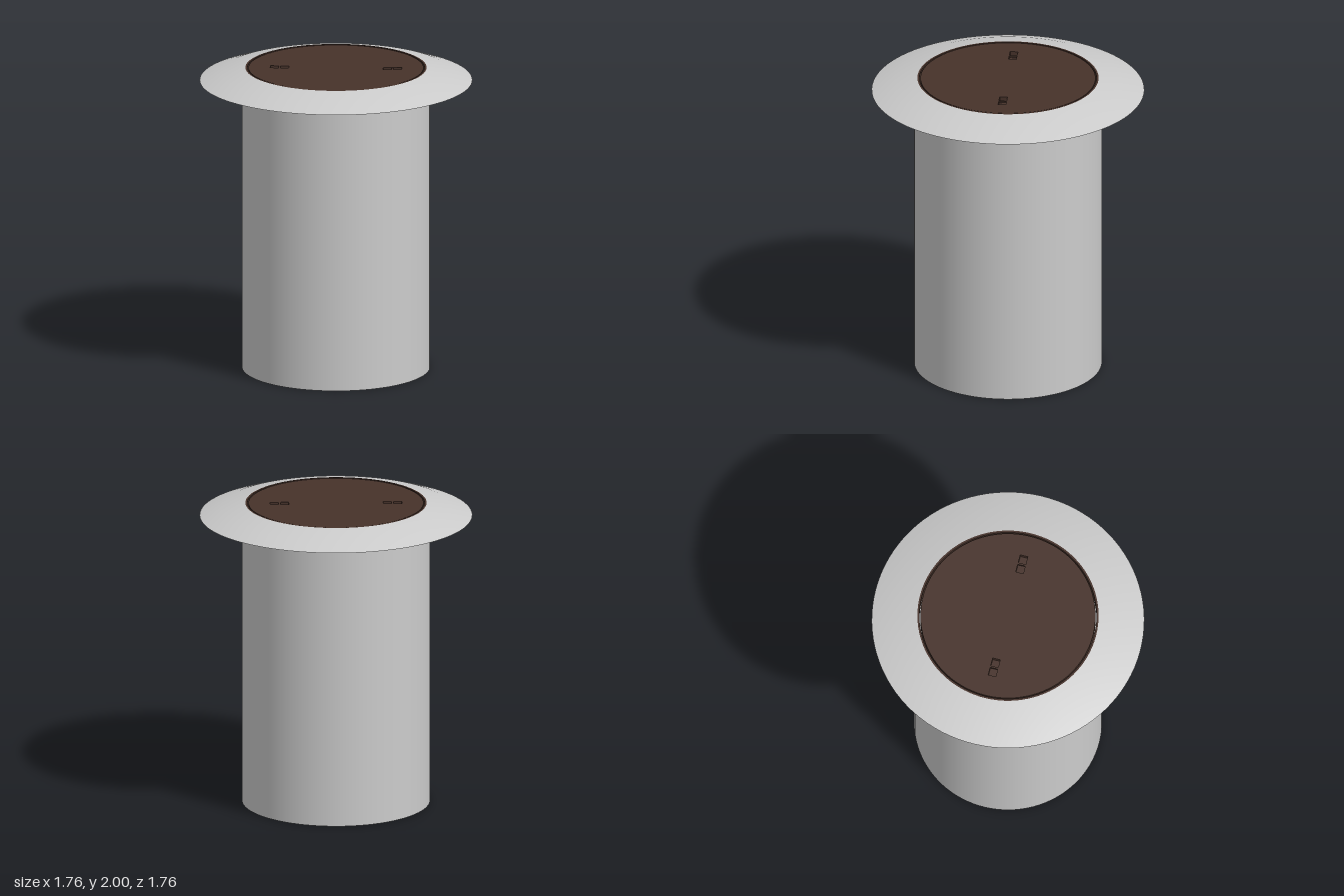
import * as THREE from 'three';

const SEG = 96;
const grey = new THREE.MeshStandardMaterial({ color: 0xcccccc });
const greyThin = new THREE.MeshStandardMaterial({ color: 0xcccccc, side: THREE.DoubleSide });
const brown = new THREE.MeshStandardMaterial({ color: 0x46322a });

function add(parent, name, geometry, material, x = 0, y = 0, z = 0) {
  const mesh = new THREE.Mesh(geometry, material);
  mesh.name = name;
  mesh.position.set(x, y, z);
  parent.add(mesh);
  return mesh;
}

// Flat shape extruded upward from y = 0
function slab(shape, height) {
  const geometry = new THREE.ExtrudeGeometry(shape, { depth: height, bevelEnabled: false, curveSegments: SEG / 2 });
  return geometry.rotateX(-Math.PI / 2);
}

function disc(radius) {
  return new THREE.Shape().absarc(0, 0, radius, 0, Math.PI * 2, false);
}

function rectHole(cx, w, h) {
  const p = new THREE.Path();
  p.moveTo(cx - w / 2, -h / 2);
  p.lineTo(cx - w / 2, h / 2);
  p.lineTo(cx + w / 2, h / 2);
  p.lineTo(cx + w / 2, -h / 2);
  p.closePath();
  return p;
}

export function createModel() {
  const model = new THREE.Group();
  model.name = 'manholeShaft';
  const rimY = 1.917;

  // Closed shaft
  add(model, 'shaft', new THREE.CylinderGeometry(0.607, 0.607, rimY, SEG), grey, 0, rimY / 2);

  // Thin sloping apron around the opening
  const apron = [[0.88, rimY], [0.74, 1.965], [0.585, 2]].map(([r, y]) => new THREE.Vector2(r, y));
  add(model, 'apron', new THREE.LatheGeometry(apron, SEG), greyThin);

  // Cover frame
  const ring = disc(0.585);
  ring.holes.push(new THREE.Path().absarc(0, 0, 0.572, 0, Math.PI * 2, true));
  add(model, 'coverFrame', slab(ring, 2 - rimY), brown, 0, rimY);

  // Cover with two lifting pockets
  const cover = new THREE.Group();
  cover.name = 'cover';
  model.add(cover);
  const plate = disc(0.565);
  for (const x of [-0.365, 0.365]) {
    plate.holes.push(rectHole(x, 0.12, 0.05));
    // Bar across each pocket
    add(cover, 'liftingBar', new THREE.BoxGeometry(0.012, 0.012, 0.05), brown, x, 1.99);
  }
  add(cover, 'coverPlate', slab(plate, 0.03), brown, 0, 1.968);
  add(cover, 'coverBase', new THREE.CylinderGeometry(0.565, 0.565, 0.051, SEG), brown, 0, 1.9425);
  return model;
}
